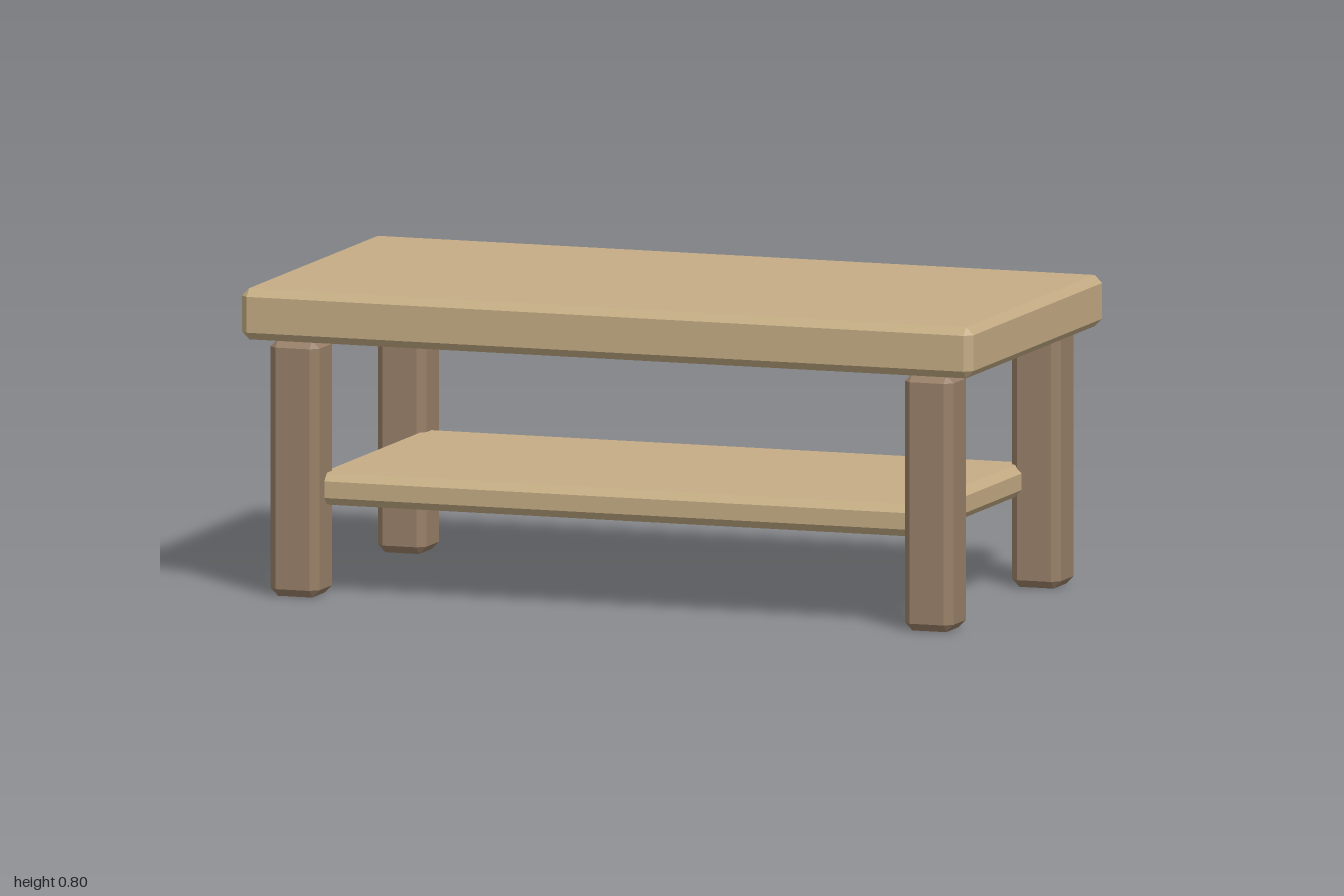
import * as THREE from 'three';
import { ConvexGeometry } from 'three/addons/geometries/ConvexGeometry.js';

const topWood = new THREE.MeshStandardMaterial({ color: 0xc4ac84, flatShading: true });
const legWood = new THREE.MeshStandardMaterial({ color: 0x987f68, flatShading: true });

// Box with every edge cut at 45 degrees and small triangular corners
function chamferedBox(width, height, depth, bevel) {
  const [x, y, z] = [width / 2, height / 2, depth / 2];
  const points = [];
  for (const sx of [-1, 1]) for (const sy of [-1, 1]) for (const sz of [-1, 1]) {
    points.push(
      new THREE.Vector3(sx * x, sy * (y - bevel), sz * (z - bevel)),
      new THREE.Vector3(sx * (x - bevel), sy * y, sz * (z - bevel)),
      new THREE.Vector3(sx * (x - bevel), sy * (y - bevel), sz * z)
    );
  }
  return new ConvexGeometry(points);
}

export function createModel() {
  const table = new THREE.Group();
  table.name = 'coffeeTable';

  function add(name, geometry, material, x, y, z) {
    const mesh = new THREE.Mesh(geometry, material);
    mesh.name = name;
    mesh.position.set(x, y, z);
    table.add(mesh);
  }

  // Thick slab top
  add('tableTop', chamferedBox(2, 0.133, 1, 0.02), topWood, 0, 0.7335, 0);

  // Lower shelf, its corners let into the legs
  add('shelf', chamferedBox(1.667, 0.083, 0.82, 0.02), topWood, 0, 0.276, 0);

  // Four square legs
  const leg = chamferedBox(0.133, 0.667, 0.133, 0.02);
  for (const sx of [-1, 1]) for (const sz of [-1, 1]) {
    const name = (sz > 0 ? 'front' : 'back') + (sx > 0 ? 'Left' : 'Right') + 'Leg';
    add(name, leg, legWood, sx * 0.867, 0.3335, sz * 0.4);
  }
  return table;
}
